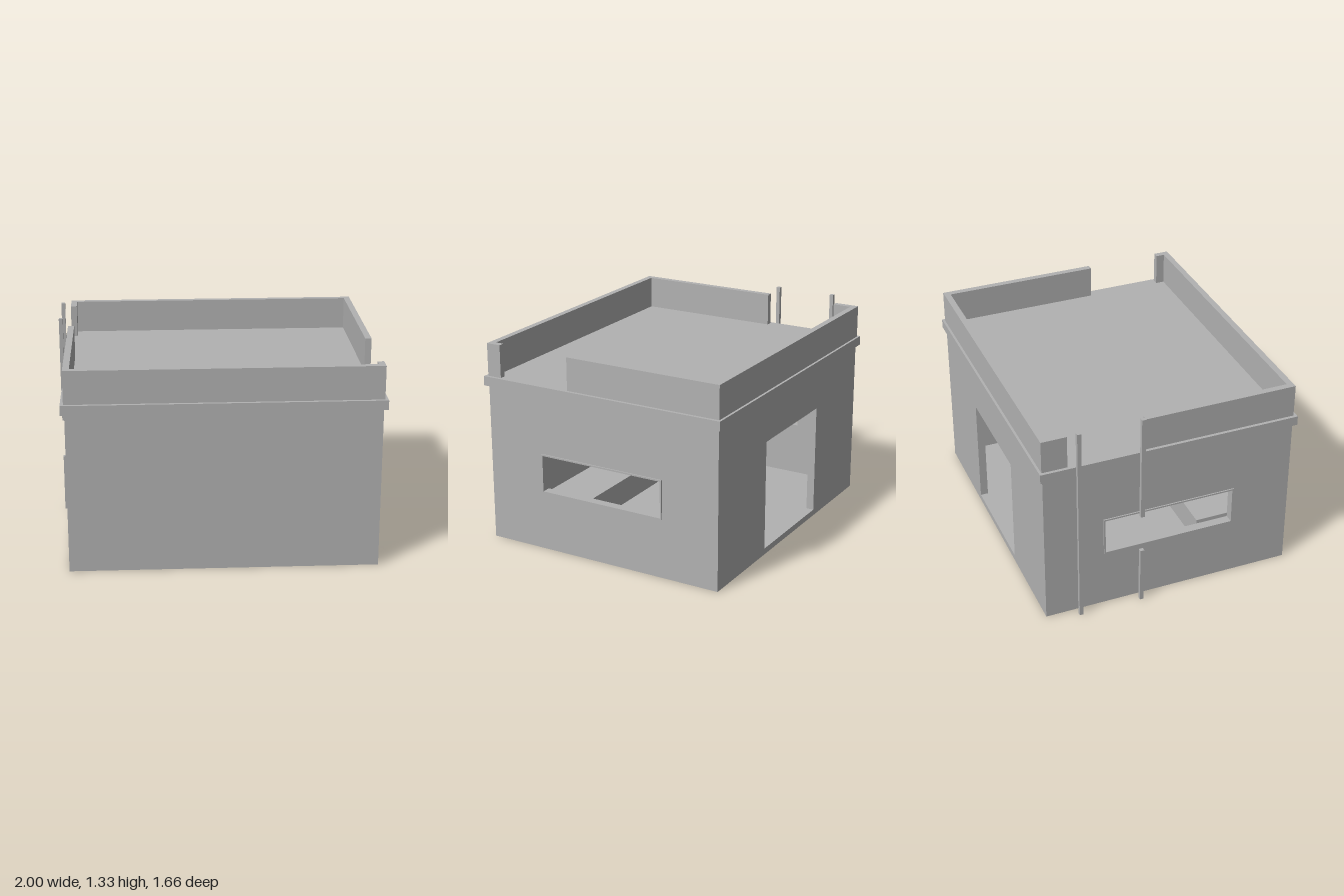
import * as THREE from 'three';

const concrete = new THREE.MeshStandardMaterial({ color: 0xb2b2b2 });
concrete.name = 'concrete grey';

// Outer limits of the wall shell
const X0 = -0.935, X1 = 0.975, Z = 0.81, FLOOR = 0.04, WALL_TOP = 1.02, T = 0.05;

// Box given by its minimum and maximum corners
function block(name, [x0, y0, z0], [x1, y1, z1]) {
  const mesh = new THREE.Mesh(new THREE.BoxGeometry(x1 - x0, y1 - y0, z1 - z0), concrete);
  mesh.position.set((x0 + x1) / 2, (y0 + y1) / 2, (z0 + z1) / 2);
  mesh.name = name;
  return mesh;
}

function rect(Kind, a0, b0, a1, b1) {
  const r = new Kind();
  r.moveTo(a0, b0);
  r.lineTo(a1, b0);
  r.lineTo(a1, b1);
  r.lineTo(a0, b1);
  r.closePath();
  return r;
}

// Upright panel with one rectangular opening, extruded along +z
function panel(name, outer, opening, depth) {
  const shape = rect(THREE.Shape, ...outer);
  shape.holes.push(rect(THREE.Path, ...opening));
  const mesh = new THREE.Mesh(
    new THREE.ExtrudeGeometry(shape, { depth, bevelEnabled: false }), concrete);
  mesh.name = name;
  return mesh;
}

export function createModel() {
  const model = new THREE.Group();
  model.name = 'flatRoofHouse';

  // Floor and closed front wall
  model.add(block('floor', [X0, 0, -Z], [X1, FLOOR, Z]));
  model.add(block('frontWall', [X0, FLOOR, Z - T], [X1, WALL_TOP, Z]));

  // Back wall with doorway down to the floor
  const back = new THREE.Group();
  back.name = 'backWall';
  back.add(block('backWallLeft', [0.37, FLOOR, -Z], [X1, WALL_TOP, -Z + T]));
  back.add(block('backWallRight', [X0, FLOOR, -Z], [-0.34, WALL_TOP, -Z + T]));
  back.add(block('doorLintel', [-0.34, 0.75, -Z], [0.37, WALL_TOP, -Z + T]));
  model.add(back);

  // Side walls with wide windows and slightly raised frames
  for (const [side, wallX, frameX] of [['left', X1 - T, X1 - T], ['right', X0, X0 - 0.008]]) {
    const wall = panel(side + 'Wall', [-Z + T, FLOOR, Z - T, WALL_TOP], [-0.43, 0.38, 0.43, 0.635], T);
    const frame = panel(side + 'WindowFrame', [-0.43, 0.38, 0.43, 0.635], [-0.42, 0.39, 0.42, 0.625], T + 0.008);
    wall.rotation.y = frame.rotation.y = Math.PI / 2;
    wall.position.x = wallX;
    frame.position.x = frameX;
    model.add(wall, frame);
  }

  // Overhanging roof slab
  model.add(block('roofSlab', [-0.96, WALL_TOP, -0.83], [1, 1.08, 0.83]));

  // Parapet around the roof, open in one place on each side
  const parapet = new THREE.Group();
  parapet.name = 'parapet';
  const pieces = [
    ['parapetFront', -0.94, 0.77, 0.98, 0.81],
    ['parapetBack', -0.94, -0.815, 0.98, -0.775],
    ['parapetLeftLong', 0.94, -0.775, 0.98, 0.225],
    ['parapetLeftShort', 0.94, 0.715, 0.98, 0.77],
    ['parapetRightLong', -0.94, -0.165, -0.9, 0.77],
    ['parapetRightShort', -0.94, -0.775, -0.9, -0.655],
  ];
  for (const [name, x0, z0, x1, z1] of pieces) {
    parapet.add(block(name, [x0, 1.08, z0], [x1, 1.29, z1]));
  }
  model.add(parapet);

  // Ladder posts beside the right wall; one is interrupted at the window
  model.add(block('rearPost', [-1, 0, -0.615], [-0.975, 1.33, -0.59]));
  model.add(block('postLower', [-1, 0, -0.215], [-0.975, 0.38, -0.19]));
  model.add(block('postUpper', [-1, 0.635, -0.215], [-0.975, 1.33, -0.19]));

  // Low benches inside the room
  model.add(block('frontBench', [-0.64, FLOOR, 0.33], [0.7, 0.21, 0.65]));
  model.add(block('sideBench', [0.72, FLOOR, -0.5], [X1 - T, 0.24, -0.09]));

  return model;
}
